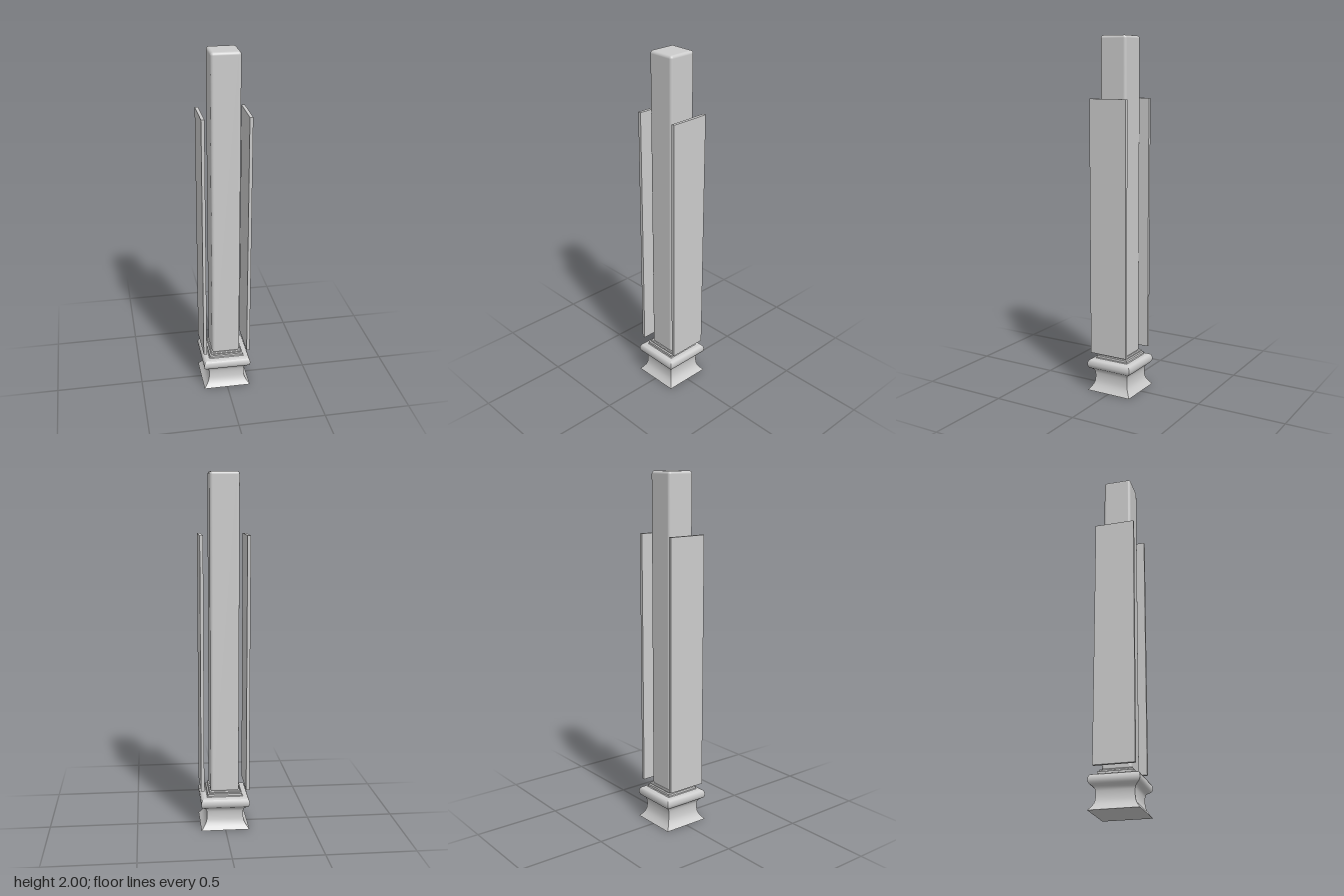
import * as THREE from 'three';
import { toCreasedNormals } from 'three/addons/utils/BufferGeometryUtils.js';
import { RoundedBoxGeometry } from 'three/addons/geometries/RoundedBoxGeometry.js';

const material = new THREE.MeshStandardMaterial({ color: 0xcccccc });

function addMesh(parent, name, geometry, x = 0, y = 0, z = 0) {
  const mesh = new THREE.Mesh(geometry, material);
  mesh.name = name;
  mesh.position.set(x, y, z);
  parent.add(mesh);
  return mesh;
}

// Sweeps a [halfWidth, height] profile around a square plan
function squareTurning(profile) {
  const points = profile.map(([w, y]) => new THREE.Vector2(w * Math.SQRT2, y));
  return toCreasedNormals(new THREE.LatheGeometry(points, 4, Math.PI / 4), 0.6);
}

export function createModel() {
  const model = new THREE.Group();
  model.name = 'post';

  // Moulded plinth: flared foot, waist, rounded bulge and two small steps
  addMesh(model, 'base', squareTurning([
    [0, 0], [0.137, 0], [0.122, 0.018], [0.111, 0.036], [0.105, 0.055],
    [0.103, 0.08], [0.104, 0.102], [0.108, 0.117], [0.117, 0.126],
    [0.13, 0.134], [0.136, 0.144], [0.138, 0.156], [0.136, 0.17],
    [0.13, 0.181], [0.121, 0.186], [0.102, 0.188], [0.098, 0.192],
    [0.098, 0.204], [0.09, 0.207], [0.09, 0.213], [0.086, 0.218], [0, 0.218],
  ]));

  // Square shaft with softened edges
  const bottom = 0.21, top = 2;
  addMesh(model, 'shaft', new RoundedBoxGeometry(0.162, top - bottom, 0.162, 3, 0.016),
    0, (top + bottom) / 2, 0);

  // Thin side panels standing clear of the shaft
  for (const side of [1, -1]) {
    addMesh(model, side > 0 ? 'leftPanel' : 'rightPanel',
      new THREE.BoxGeometry(0.018, 1.435, 0.227), side * 0.128, 0.947, 0);
  }
  return model;
}
